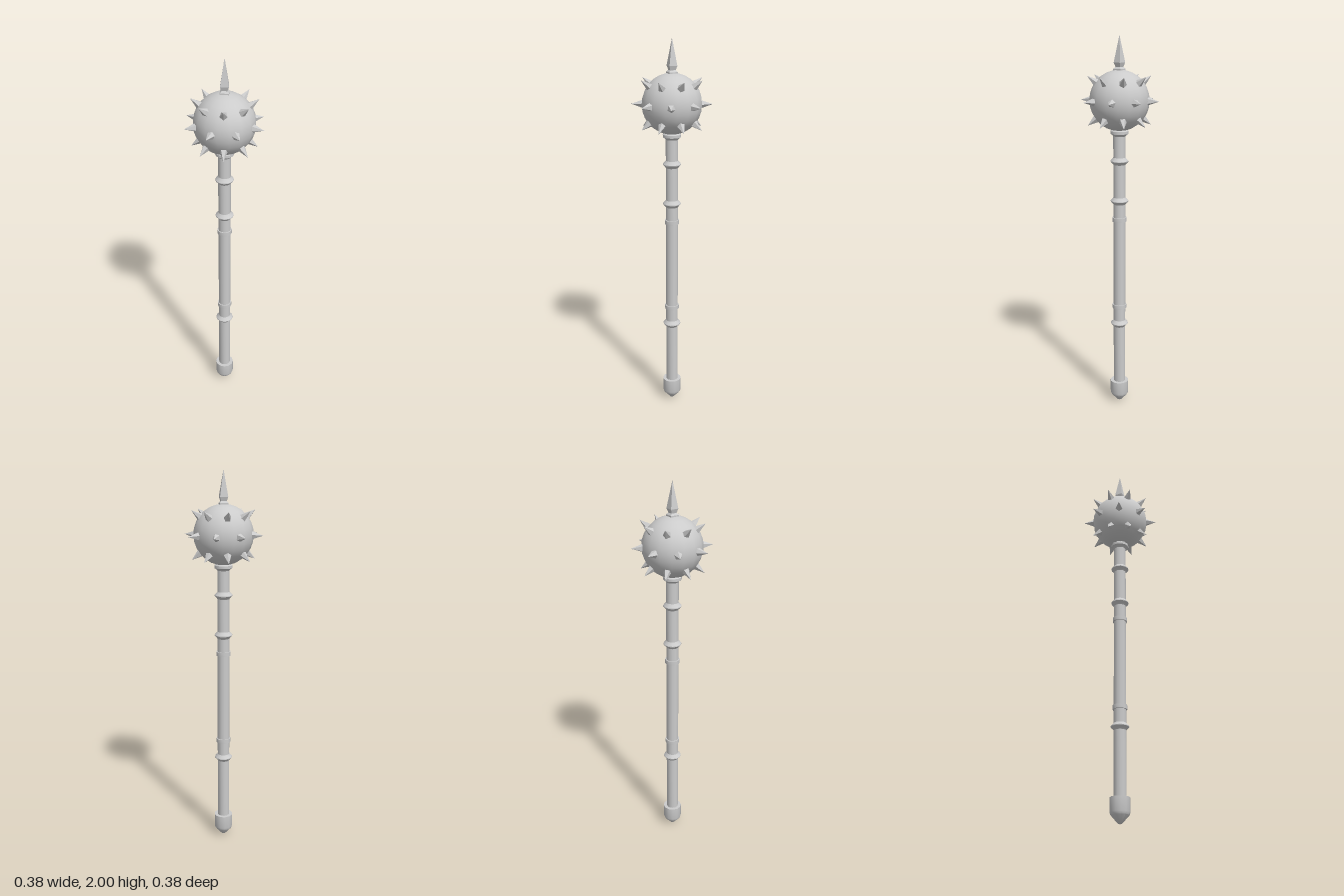
import * as THREE from 'three';
import { toCreasedNormals } from 'three/addons/utils/BufferGeometryUtils.js';

const BALL_Y = 1.682, BALL_R = 0.152;

export function createModel() {
  const mace = new THREE.Group();
  mace.name = 'mace';
  mace.position.x = -0.003;
  const smooth = new THREE.MeshStandardMaterial({ color: 0xcccccc });
  const faceted = new THREE.MeshStandardMaterial({ color: 0xcccccc, flatShading: true });

  const add = (name, geometry, material = smooth, parent = mace) => {
    const mesh = new THREE.Mesh(geometry, material);
    mesh.name = name;
    parent.add(mesh);
    return mesh;
  };
  // Turned part from [radius, height] pairs listed bottom to top
  const turned = (name, profile, sides = 12) => add(name, toCreasedNormals(
    new THREE.LatheGeometry(profile.map(([r, y]) => new THREE.Vector2(r, y)), sides), 0.6));

  // Handle
  turned('shaft', [[0.032, 0.1], [0.032, 0.575], [0.032, 1.065], [0.032, 1.55]]);
  turned('pommel', [[0, 0], [0.012, 0.005], [0.046, 0.043], [0.05, 0.056], [0.05, 0.126], [0, 0.126]]);

  // Pointed ridges around the shaft
  for (const y of [0.475, 1.165, 1.375]) {
    turned('ridge', [[0.032, y - 0.019], [0.036, y - 0.013], [0.047, y - 0.002],
      [0.047, y + 0.002], [0.036, y + 0.013], [0.032, y + 0.019]]);
  }
  // Flat bands at both ends of the grip
  for (const y of [0.575, 1.065]) {
    turned('gripBand', [[0.03, y - 0.011], [0.038, y - 0.011], [0.038, y + 0.011], [0.03, y + 0.011]]);
  }
  // Collar under the head
  turned('collar', [[0.032, 1.503], [0.037, 1.51], [0.047, 1.516], [0.047, 1.53], [0.036, 1.54]]);

  // Head
  const head = new THREE.Group();
  head.name = 'head';
  head.position.y = BALL_Y;
  mace.add(head);
  const ball = add('ball', new THREE.SphereGeometry(BALL_R, 16, 14), smooth, head);
  ball.rotation.y = Math.PI / 16;

  // Three rows of eight spikes, the middle row offset by half a step
  const spikeGeometry = new THREE.ConeGeometry(0.0235, 0.064, 5);
  const up = new THREE.Vector3(0, 1, 0);
  for (const [elevation, offset] of [[-0.65, 0], [0, 0.5], [0.65, 0]]) {
    for (let i = 0; i < 8; i++) {
      const turn = (i + offset) * Math.PI / 4;
      const out = new THREE.Vector3(Math.cos(turn) * Math.cos(elevation),
        Math.sin(elevation), Math.sin(turn) * Math.cos(elevation));
      const spike = add('spike', spikeGeometry, faceted, head);
      spike.position.copy(out).multiplyScalar(0.171);
      spike.quaternion.setFromUnitVectors(up, out);
    }
  }

  // Square finial: foot, neck and long point
  const finial = new THREE.LatheGeometry([[0.031, 1.82], [0.031, 1.838], [0.02, 1.847],
    [0.029, 1.868], [0, 2]].map(([r, y]) => new THREE.Vector2(r, y)), 4);
  finial.rotateY(Math.PI / 4);
  add('topSpike', finial, faceted);

  return mace;
}
